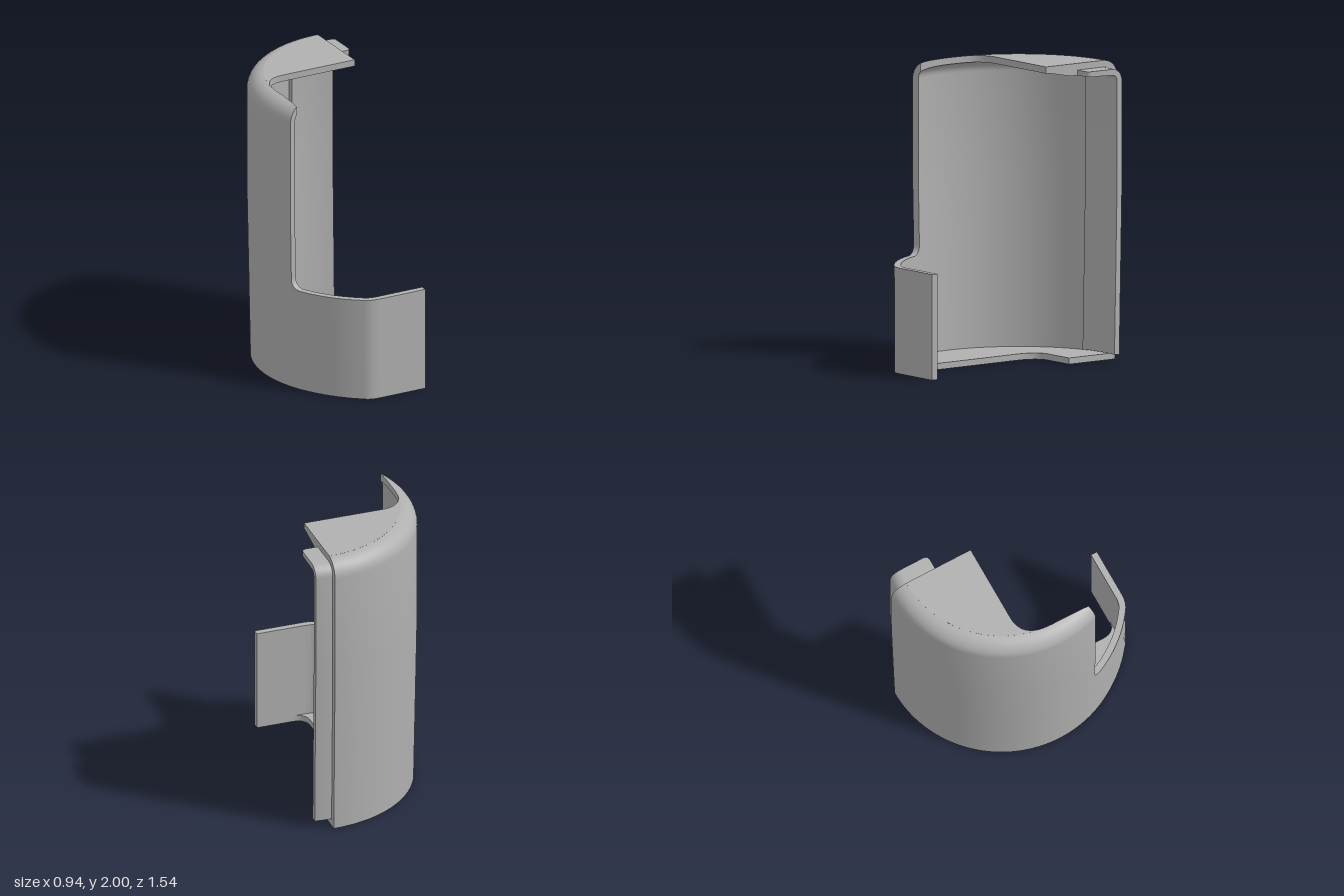
import * as THREE from 'three';
import { toCreasedNormals } from 'three/addons/utils/BufferGeometryUtils.js';

const CX = 0.355, CZ = 0.05, R = 0.825, WALL = 0.045; // plan circle of the shell
const rad = THREE.MathUtils.degToRad;
const shellGrey = new THREE.MeshStandardMaterial({ color: 0xb0b0b0, side: THREE.DoubleSide });
shellGrey.name = 'shell grey';

// the shell narrows slightly towards its base, except along the flat front
function taper(y, a) {
  const fade = 1 - THREE.MathUtils.smoothstep(a, rad(30), rad(75));
  return 0.023 * Math.max(0, 1 - y / 1.2) * fade;
}

// column on the plan circle; a is the direction of its outward normal (-cos a, sin a)
const onCircle = (a, r = R) => ({ x: CX - r * Math.cos(a), z: CZ + r * Math.sin(a), a });

// sweep a closed profile of [inset, height] along columns, with both ends closed
function sweep(columns, profileAt) {
  const profiles = columns.map(profileAt);
  const rings = columns.map((c, i) => profiles[i].map(([d, y]) => {
    const inset = d + taper(y, c.a);
    return [c.x + inset * Math.cos(c.a), y, c.z - inset * Math.sin(c.a)];
  }));
  const pos = [];
  const tri = (a, b, c) => pos.push(...a, ...b, ...c);
  const n = rings[0].length;
  for (let i = 0; i < rings.length - 1; i++) {
    for (let j = 0; j < n; j++) {
      const k = (j + 1) % n;
      tri(rings[i][j], rings[i + 1][j], rings[i + 1][k]);
      tri(rings[i][j], rings[i + 1][k], rings[i][k]);
    }
  }
  for (const end of [0, rings.length - 1]) {
    const flat = profiles[end].map(([d, y]) => new THREE.Vector2(d, y));
    for (const [a, b, c] of THREE.ShapeUtils.triangulateShape(flat, [])) {
      const ccw = THREE.ShapeUtils.area([flat[a], flat[b], flat[c]]) > 0;
      const ring = rings[end];
      if (ccw === (end > 0)) tri(ring[a], ring[b], ring[c]);
      else tri(ring[a], ring[c], ring[b]);
    }
  }
  const geo = new THREE.BufferGeometry();
  geo.setAttribute('position', new THREE.Float32BufferAttribute(pos, 3));
  return toCreasedNormals(geo, 0.6);
}

// quarter bend from vertical to horizontal, stopped at inset dMax
function bend(centre, height, r, dMax, steps = 8) {
  const end = Math.acos(THREE.MathUtils.clamp((centre - dMax) / r, 0, 1));
  return Array.from({ length: steps + 1 }, (_, i) => {
    const t = end * i / steps;
    return [centre - r * Math.cos(t), height + r * Math.sin(t)];
  });
}

// horizontal plate drawn in plan (x, z), hanging down from y = top
function plate(shape, top, depth) {
  const geo = new THREE.ExtrudeGeometry(shape, { depth, bevelEnabled: false, curveSegments: 16 });
  geo.rotateX(Math.PI / 2).translate(0, top, 0);
  return toCreasedNormals(geo, 0.6);
}

export function createModel() {
  const group = new THREE.Group();
  group.name = 'shellHalf';
  const add = (name, geo) => {
    const mesh = new THREE.Mesh(geo, shellGrey);
    mesh.name = name;
    group.add(mesh);
  };

  // tall curved wall with rounded shoulder, cut by the window edge
  const cut = Math.asin((0.335 - CZ) / R);
  const tall = [];
  for (let i = 0; i <= 48; i++) tall.push(onCircle(-Math.PI / 2 + (cut + Math.PI / 2) * i / 48));
  add('backWall', sweep(tall, ({ a }) => {
    const dMax = a < 0 ? 0.11 : R - 0.715 / Math.cos(a);
    return [
      [0, 0], [0, 0.6], [0, 1.2], ...bend(0.12, 1.88, 0.12, dMax),
      ...bend(0.12, 1.88, 0.12 - WALL, dMax).reverse(), [WALL, 1.2], [WALL, 0.6], [WALL, 0],
    ];
  }));

  // low front wall: circle, blend, then flat
  const low = [];
  const blendA = Math.asin((0.735 - CZ) / R);
  for (let i = 0; i <= 32; i++) low.push(onCircle(cut + (blendA - cut) * Math.pow(i / 32, 1.6)));
  const from = onCircle(blendA);
  const blend = new THREE.QuadraticBezierCurve(
    new THREE.Vector2(from.x, from.z), new THREE.Vector2(-0.053, 0.77), new THREE.Vector2(0.02, 0.77));
  for (let i = 1; i <= 8; i++) {
    const p = blend.getPoint(i / 8);
    low.push({ x: p.x, z: p.y, a: THREE.MathUtils.lerp(blendA, Math.PI / 2, i / 8) });
  }
  low.push({ x: CX, z: 0.77, a: Math.PI / 2 });
  add('frontWall', sweep(low, ({ z }) => {
    const r = 0.065, s = Math.max(0, 0.4 - z);
    const top = 0.77 - Math.sqrt(Math.max(0, r * r - s * s));
    return [[0, 0], [0, 0.35], [0, top], [WALL, top], [WALL, 0.35], [WALL, 0]];
  }));

  // top plate with rounded window corner
  const roof = new THREE.Shape();
  roof.moveTo(CX, -0.18);
  for (let i = 0; i <= 32; i++) {
    const p = onCircle(rad(-90 + 84 * i / 32), R - 0.11);
    roof.lineTo(p.x, p.z);
  }
  roof.bezierCurveTo(-0.345, -0.12, -0.29, -0.18, -0.19, -0.18);
  roof.closePath();
  add('topPlate', plate(roof, 2, WALL));

  // floor with a cut-away filleted in both corners
  const floor = new THREE.Shape();
  floor.moveTo(CX, -0.37);
  for (let i = 0; i <= 40; i++) {
    const p = onCircle(rad(-90 + 149 * i / 40), 0.785);
    floor.lineTo(p.x, p.z);
  }
  floor.lineTo(0.0, 0.75);
  floor.lineTo(0.1, 0.75);
  floor.lineTo(0.1, 0.725);
  floor.quadraticCurveTo(0.015, 0.72, 0.015, 0.63);
  floor.lineTo(0.01, -0.2);
  floor.quadraticCurveTo(0.015, -0.37, 0.14, -0.37);
  floor.closePath();
  add('floor', plate(floor, 0.042, 0.042));

  // joining lip inside the back edge, folding over into a tab at the top
  const lip = [0.47, 0.465, 0.455, 0.44, 0.4, 0.355, 0.3, 0.25, 0.2, 0.15].map((x) => ({
    x, z: CZ - Math.sqrt(0.78 ** 2 - (x - CX) ** 2), a: -Math.PI / 2,
  }));
  add('joiningLip', sweep(lip, ({ x, z }) => {
    const s = Math.max(0, x - 0.44);
    const end = -0.44 - 0.03 + Math.sqrt(Math.max(0, 0.03 ** 2 - s * s)) - z;
    return [
      [0, 0.05], [0, 1.2], ...bend(0.08, 1.875, 0.08, 0.08), [end, 1.955],
      [end, 1.92], ...bend(0.08, 1.875, 0.04, 0.08).reverse(), [0.04, 1.2], [0.04, 0.05],
    ];
  }));

  // ramp under the top plate leading into the tab
  const ramp = new THREE.Shape([[0.2, 1.956], [0.38, 1.92], [0.45, 1.92], [0.45, 1.956]]
    .map(([x, y]) => new THREE.Vector2(x, y)));
  const rampGeo = new THREE.ExtrudeGeometry(ramp, { depth: 0.205, bevelEnabled: false });
  rampGeo.rotateY(Math.PI / 2).translate(0.15, 0, 0);
  add('tabRamp', rampGeo);

  return group;
}
